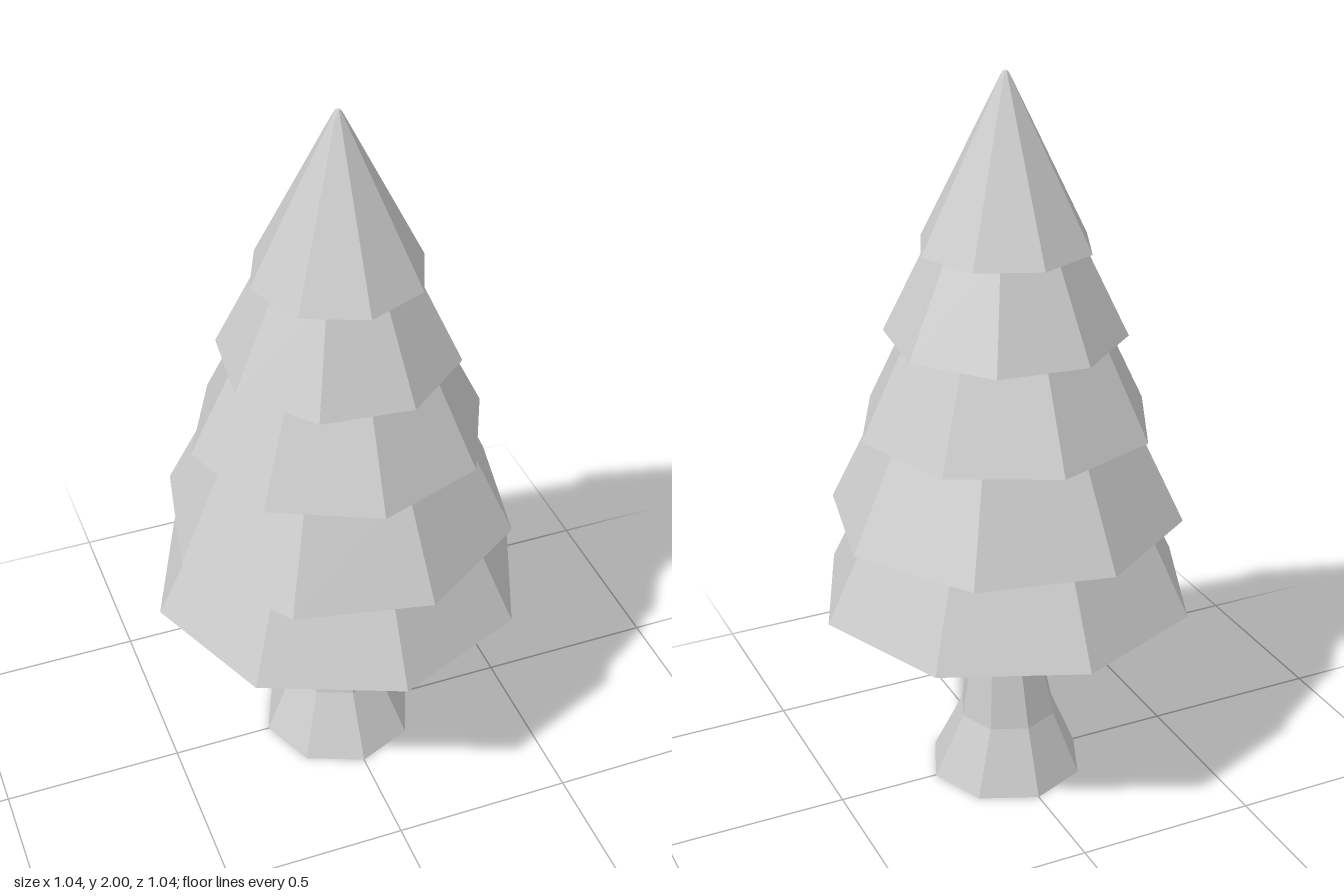
import * as THREE from 'three';

const SIDES = 8;
const SLOPE = 0.485; // radius lost per unit of height

export function createModel() {
  const tree = new THREE.Group();
  tree.name = 'pineTree';
  const material = new THREE.MeshStandardMaterial({ color: 0xcccccc, flatShading: true });

  const addPart = (name, geometry) => {
    const faceted = geometry.toNonIndexed();
    faceted.computeVertexNormals();
    const mesh = new THREE.Mesh(faceted, material);
    mesh.name = name;
    tree.add(mesh);
    return mesh;
  };

  // Trunk: flared octagonal column that leans slightly; rows from top to bottom
  const rows = [
    { y: 0.6, r: 0.092, x: 0.003, z: -0.013 },
    { y: 0.37, r: 0.104, x: 0.008, z: -0.015 },
    { y: 0.185, r: 0.137, x: 0, z: -0.014 },
    { y: 0, r: 0.218, x: 0, z: -0.002 },
  ];
  const trunk = new THREE.CylinderGeometry(1, 1, 1, SIDES, rows.length - 1);
  const p = trunk.attributes.position;
  for (let i = 0; i < p.count; i++) {
    const row = rows[Math.round((0.5 - p.getY(i)) * (rows.length - 1))];
    p.setXYZ(i, p.getX(i) * row.r + row.x, row.y, p.getZ(i) * row.r + row.z);
  }
  addPart('trunk', trunk);

  // Branch tiers: truncated octagonal cones, each twisted a little
  const tiers = [
    { y: 0.565, r: 0.518, twist: 0 },
    { y: 0.802, r: 0.48, twist: 0.185 },
    { y: 1.065, r: 0.4, twist: -0.055 },
    { y: 1.31, r: 0.32, twist: 0.285 },
  ];
  tiers.forEach(({ y, r, twist }, i) => {
    const nextY = i < tiers.length - 1 ? tiers[i + 1].y : 1.55;
    const height = nextY + 0.04 - y; // tucked into the tier above
    const cone = new THREE.CylinderGeometry(r - SLOPE * height, r, height, SIDES);
    cone.translate(0, height / 2, 0);
    const mesh = addPart(`branchTier${i + 1}`, cone);
    mesh.position.y = y;
    mesh.rotation.y = twist;
  });

  // Top tier with a blunted tip
  const profile = [[0, 1.55], [0.233, 1.55], [0.014, 1.985], [0.007, 1.997], [0, 2]];
  addPart('treetop', new THREE.LatheGeometry(profile.map(([r, y]) => new THREE.Vector2(r, y)), SIDES));

  return tree;
}
